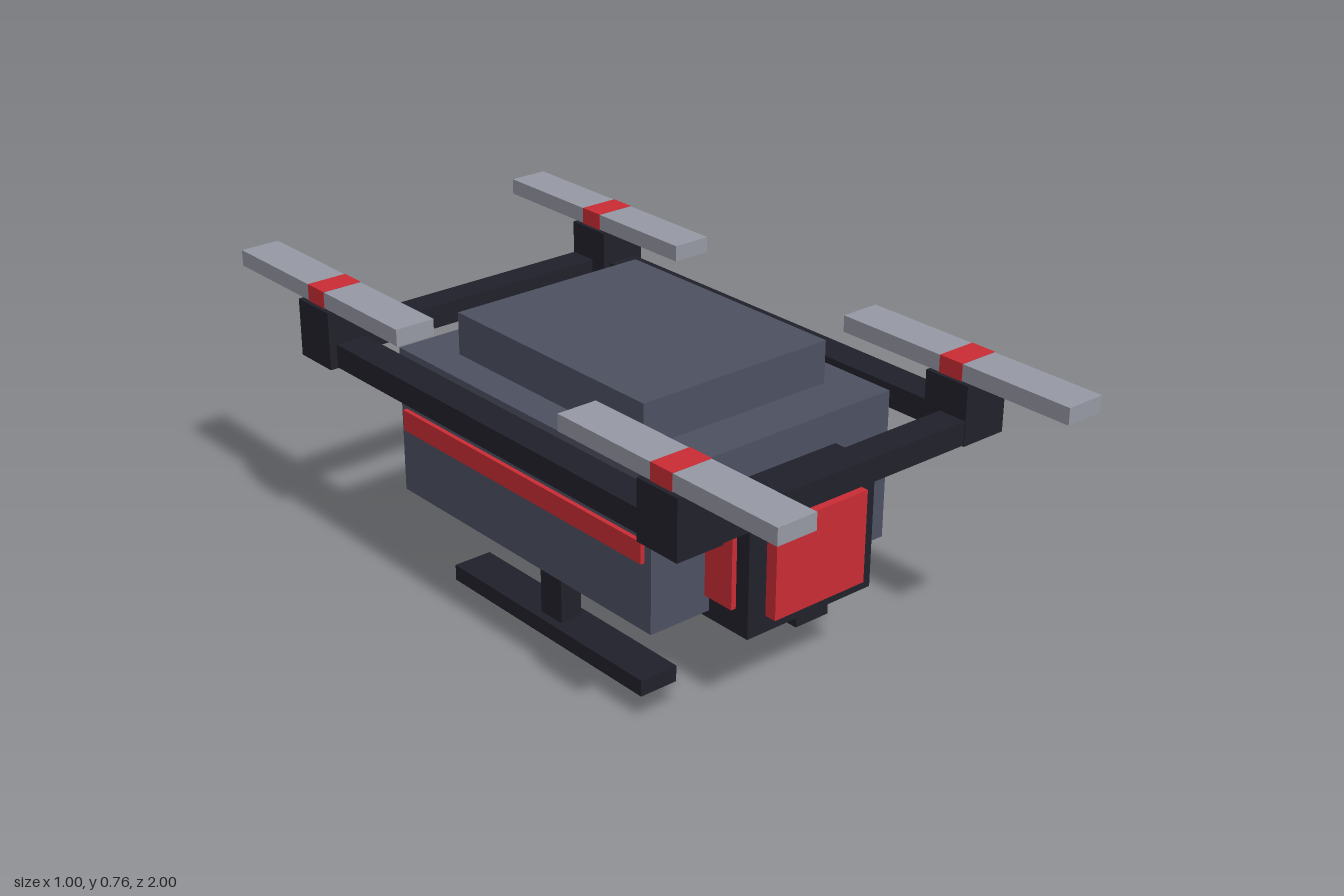
import * as THREE from 'three';

function material(name, color) {
  const m = new THREE.MeshStandardMaterial({ color });
  m.name = name;
  return m;
}

export function createModel() {
  const slate = material('slate', 0x4e5162);
  const black = material('black', 0x21212b);
  const red = material('red', 0xcc2c35);
  const grey = material('grey', 0x989ba6);

  const model = new THREE.Group();
  model.name = 'drone';

  // Box given by its min and max on each axis
  function box(name, mat, [x0, x1], [y0, y1], [z0, z1], parent = model) {
    const mesh = new THREE.Mesh(new THREE.BoxGeometry(x1 - x0, y1 - y0, z1 - z0), mat);
    mesh.position.set((x0 + x1) / 2, (y0 + y1) / 2, (z0 + z1) / 2);
    mesh.name = name;
    parent.add(mesh);
    return mesh;
  }
  // Range mirrored to the given side
  const side = (s, a, b) => (s > 0 ? [a, b] : [-b, -a]);

  // Hull with raised lid and belly plate
  box('body', slate, [-0.368, 0.368], [0.24, 0.628], [-0.478, 0.478]);
  box('topCover', slate, [-0.28, 0.28], [0.628, 0.738], [-0.348, 0.348]);
  box('bellyPlate', red, [-0.218, 0.218], [0.21, 0.24], [-0.26, 0.26]);

  // Front camera
  const camera = new THREE.Group();
  camera.name = 'cameraPod';
  model.add(camera);
  box('cameraHousing', black, [-0.194, 0.194], [0.22, 0.544], [0.395, 0.608], camera);
  box('cameraLens', red, [-0.14, 0.14], [0.263, 0.502], [0.6, 0.64], camera);

  for (const s of [1, -1]) {
    const label = s > 0 ? 'left' : 'right';
    box(label + 'CameraPanel', red, side(s, 0.185, 0.208), [0.284, 0.48], [0.47, 0.568], camera);
    box(label + 'Stripe', red, side(s, 0.36, 0.38), [0.415, 0.47], [-0.457, 0.457]);

    // Landing gear
    box(label + 'Leg', black, side(s, 0.219, 0.28), [0.04, 0.245], [-0.04, 0.04]);
    box(label + 'Skid', black, side(s, 0.195, 0.303), [0, 0.043], [-0.368, 0.368]);

    // Frame rails
    box(label + 'SideRail', black, side(s, 0.393, 0.479), [0.569, 0.63], [-0.7, 0.7]);
    box(s > 0 ? 'frontRail' : 'rearRail', black, [-0.48, 0.48], [0.57, 0.631], side(s, 0.636, 0.714));

    // Motors and rotor blades at both ends
    for (const e of [1, -1]) {
      const rotor = new THREE.Group();
      rotor.name = label + (e > 0 ? 'Front' : 'Rear') + 'Rotor';
      model.add(rotor);
      box('motor', black, side(s, 0.37, 0.5), [0.567, 0.718], side(e, 0.587, 0.716), rotor);
      box('blade', grey, side(s, 0.381, 0.488), [0.719, 0.761], side(e, 0.306, 1), rotor);
      box('hub', red, side(s, 0.38, 0.489), [0.717, 0.762], side(e, 0.617, 0.687), rotor);
    }
  }
  return model;
}
